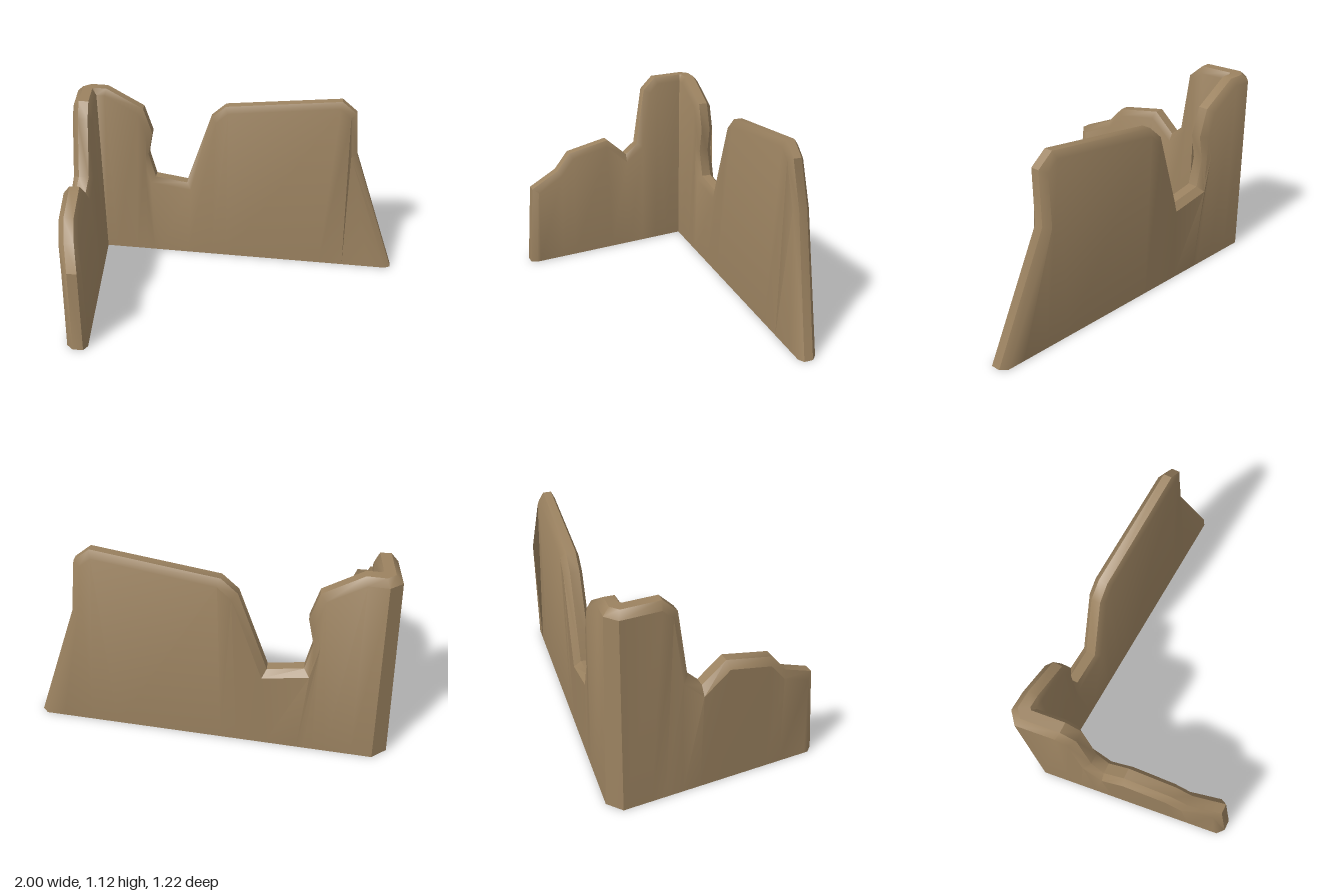
import * as THREE from 'three';
import { toCreasedNormals } from 'three/addons/utils/BufferGeometryUtils.js';

// Broken top edge of the wall, unrolled around the corner (s = 0 at the inner corner).
// Each station: [s, height, s at the base, outward lean, shift of the outer side]
const STATIONS = [
  // side wall, from its free end to the corner
  [-1.09, 0, -1.055, 0, 0],
  [-1.055, 0.5, -1.03, 0, 0],
  [-0.87, 0.58, -0.87, 0.035, 0],
  [-0.78, 0.685, -0.78, 0.04, 0],
  [-0.51, 0.735, -0.51, 0.04, 0],
  [-0.38, 0.62, -0.38, 0.03, 0],
  [-0.305, 0.685, -0.28, 0.015, 0],
  [-0.255, 1.05, -0.18, 0, 0],
  [-0.175, 1.125, -0.1, 0, 0],
  [0, 1.125, 0, 0, 0.06],
  // back wall, from the corner to its free end
  [0, 1.125, 0, 0, -0.06],
  [0.06, 1.125, 0.06, 0, 0],
  [0.28, 1.0, 0.2, 0.01, 0],
  [0.33, 0.84, 0.27, 0.01, 0],
  [0.3, 0.69, 0.32, 0.01, 0],
  [0.34, 0.53, 0.36, 0.015, 0],
  [0.54, 0.5, 0.54, 0.02, 0],
  [0.7, 0.96, 0.7, 0.03, 0],
  [0.79, 1.04, 0.79, 0.03, 0],
  [1.49, 1.125, 1.4, 0.02, 0],
  [1.58, 1.05, 1.55, 0.02, 0],
  [1.6, 0.76, 1.72, 0.06, 0],
  [1.86, 0, 1.825, 0, 0],
];
const CORNER = 9; // last station of the side wall
const BEVEL = 0.037;

// Point on a wall: t = 0 on the inner face, 1 on the outer face
function place(onSide, s, y, t, lean, shift) {
  const so = s + shift;
  const taper = 0.013 * y;
  if (onSide) {
    const zi = -0.48 - s, zo = -0.48 - so;
    const inner = -0.86 + (zi + 0.48) * 0.091 - lean;
    const outer = -1 + (zo + 0.54) * 0.103 - lean + taper;
    return new THREE.Vector3(inner + (outer - inner) * t, y, zi + (zo - zi) * t);
  }
  const xi = -0.86 + s, xo = -0.86 + so;
  const inner = -0.48 + (xi + 0.86) * 0.058 - lean;
  const outer = -0.61 + (xo + 0.92) * 0.0688 - lean + taper;
  return new THREE.Vector3(xi + (xo - xi) * t, y, inner + (outer - inner) * t);
}

// Outline point moved inward by the bevel width
function inset(i) {
  const at = (k) => new THREE.Vector2(STATIONS[k][0], STATIONS[k][1]);
  const p = at(i);
  const a = i > 0 ? p.clone().sub(at(i - 1)).normalize() : new THREE.Vector2();
  const b = i < STATIONS.length - 1 ? at(i + 1).sub(p).normalize() : new THREE.Vector2();
  const dir = a.clone().add(b).normalize();
  const cos = Math.max(dir.dot(a.lengthSq() > 0 ? a : b), 0.7);
  const q = new THREE.Vector2(p.x + dir.y * BEVEL / cos, p.y - dir.x * BEVEL / cos);
  if (p.y === 0) q.y = 0;
  return q;
}

// Six-point cross-section: inner base, inner rim, two crest points, outer rim, outer base
function section(station, i) {
  const [s, y, base, lean, shift] = station;
  const side = i <= CORNER;
  const q = inset(i);
  const foot = y === 0 ? q.x : base;
  return [
    place(side, foot, 0, 0, 0, shift),
    place(side, q.x, q.y, 0, lean, shift),
    place(side, s, y, 0.2, lean, shift),
    place(side, s, y, 0.7, lean, shift),
    place(side, q.x, q.y, 1, lean, shift),
    place(side, foot, 0, 1, 0, shift),
  ];
}

function wallGeometry() {
  const rings = STATIONS.map(section);
  const positions = [];
  const tri = (a, b, c) => {
    const area = b.clone().sub(a).cross(c.clone().sub(a)).length();
    if (area > 1e-7) for (const v of [a, b, c]) positions.push(v.x, v.y, v.z);
  };
  const quad = (a, b, c, d) => { tri(a, b, c); tri(a, c, d); };

  // skin between neighbouring sections, underside included
  for (let i = 0; i < rings.length - 1; i++) {
    for (let k = 0; k < 6; k++) {
      const n = (k + 1) % 6;
      quad(rings[i][k], rings[i + 1][k], rings[i + 1][n], rings[i][n]);
    }
  }
  // underside of the bevelled free ends
  const first = rings[0], last = rings[rings.length - 1];
  quad(first[1], first[2], first[3], first[4]);
  quad(last[4], last[3], last[2], last[1]);

  const geometry = new THREE.BufferGeometry();
  geometry.setAttribute('position', new THREE.Float32BufferAttribute(positions, 3));
  return toCreasedNormals(geometry, 0.75);
}

export function createModel() {
  const group = new THREE.Group();
  group.name = 'ruinedWallCorner';
  const clay = new THREE.MeshStandardMaterial({ color: 0x9b8260 });
  clay.name = 'sandyClay';
  const wall = new THREE.Mesh(wallGeometry(), clay);
  wall.name = 'brokenWall';
  group.add(wall);
  return group;
}
